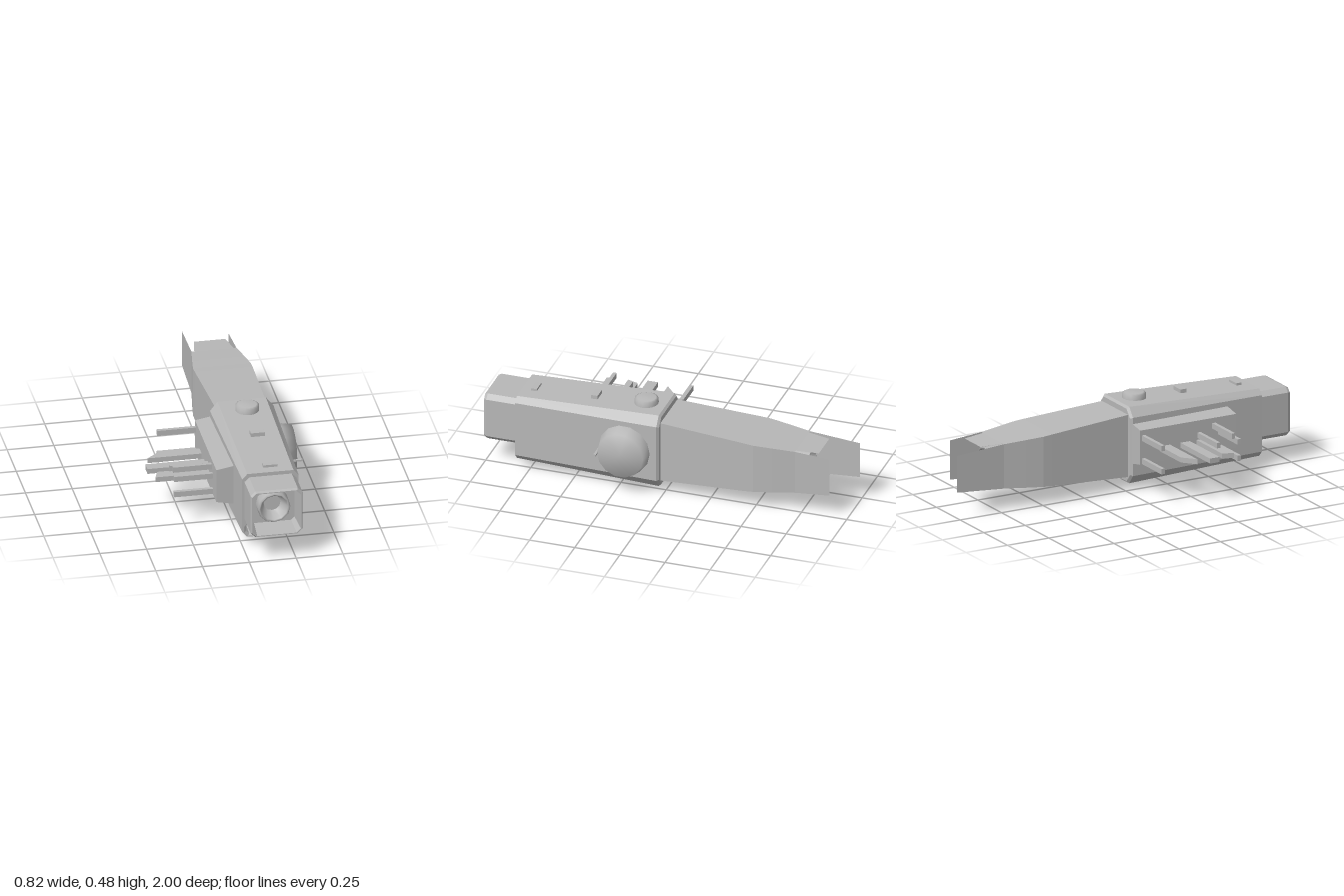
import * as THREE from 'three';

const CX = 0.148, CY = 0.245;

// Chamfered rectangle, counter-clockwise seen from +z
function oct(z, x0, x1, y0, y1, cx, cy = cx) {
  return [[x0 + cx, y0], [x1 - cx, y0], [x1, y0 + cy], [x1, y1 - cy],
    [x1 - cx, y1], [x0 + cx, y1], [x0, y1 - cy], [x0, y0 + cy]].map(([x, y]) => [x, y, z]);
}
const rect = (z, hw, hh) => [[CX - hw, CY - hh, z], [CX + hw, CY - hh, z], [CX + hw, CY + hh, z], [CX - hw, CY + hh, z]];

// Faceted surface through matching rings, optionally capped
function loft(rings, { start = false, end = false, closed = true } = {}) {
  const v = [];
  const tri = (...p) => p.forEach(q => v.push(...q));
  const n = rings[0].length;
  for (let r = 0; r < rings.length - 1; r++) {
    for (let i = 0; i < (closed ? n : n - 1); i++) {
      const j = (i + 1) % n, a = rings[r], b = rings[r + 1];
      tri(a[i], a[j], b[j]);
      tri(a[i], b[j], b[i]);
    }
  }
  for (let i = 1; i < n - 1; i++) {
    const a = rings[0], b = rings[rings.length - 1];
    if (start) tri(a[0], a[i + 1], a[i]);
    if (end) tri(b[0], b[i], b[i + 1]);
  }
  const g = new THREE.BufferGeometry();
  g.setAttribute('position', new THREE.Float32BufferAttribute(v, 3));
  g.computeVertexNormals();
  return g;
}

export function createModel() {
  const group = new THREE.Group();
  const grey = new THREE.MeshStandardMaterial({ color: 0xb8b8b8, side: THREE.DoubleSide });
  grey.name = 'hull grey';
  const add = (name, geo, x = 0, y = 0, z = 0) => {
    const m = new THREE.Mesh(geo, grey);
    m.name = name;
    m.position.set(x, y, z);
    group.add(m);
    return m;
  };
  const box = (name, w, h, d, x, y, z) => add(name, new THREE.BoxGeometry(w, h, d), x, y, z);
  const V = (x, y) => new THREE.Vector2(x, y);

  // Main hull, slightly wider at the rear
  const hullFront = oct(0.82, -0.003, 0.298, 0.06, 0.43, 0.027, 0.03);
  add('hull', loft([
    oct(0.02, -0.01, 0.307, 0.045, 0.445, 0.037, 0.045),
    oct(0.032, -0.021, 0.318, 0.035, 0.456, 0.04, 0.05),
    hullFront,
  ], { start: true }));

  // Front face with a lower intake
  const intake = z => oct(z, 0.01, 0.286, 0.065, 0.142, 0.02, 0.02);
  const face = new THREE.Shape(hullFront.map(([x, y]) => V(x, y)));
  face.holes.push(new THREE.Path(intake(0).map(([x, y]) => V(x, y)).reverse()));
  add('frontFace', new THREE.ShapeGeometry(face), 0, 0, 0.82);
  add('intake', loft([
    intake(0.82), oct(0.805, 0.018, 0.278, 0.072, 0.135, 0.018, 0.018),
    oct(0.7, 0.022, 0.274, 0.075, 0.132, 0.018, 0.018),
  ], { end: true }));

  // Hollow nose collar
  add('noseCollar', loft([
    oct(0.82, 0.009, 0.286, 0.143, 0.41, 0.025),
    oct(0.985, 0.009, 0.286, 0.143, 0.41, 0.025),
    oct(1.0, 0.015, 0.28, 0.149, 0.404, 0.023),
    oct(1.0, 0.02, 0.275, 0.154, 0.399, 0.022),
    oct(0.87, 0.032, 0.266, 0.164, 0.388, 0.018),
  ], { end: true }));

  // Front barrel, a ring with a sunken core
  const barrel = new THREE.LatheGeometry([
    V(0.087, 0), V(0.087, 0.06), V(0.081, 0.07), V(0.072, 0.065), V(0.07, 0.05), V(0.045, 0), V(0, -0.02),
  ], 12);
  barrel.rotateX(Math.PI / 2);
  add('frontBarrel', barrel, 0.146, 0.277, 0.87);

  // Tapered tail sleeve
  add('tailSleeve', loft([
    rect(-0.72, 0.12, 0.122), rect(-0.6, 0.14, 0.131), rect(-0.5, 0.155, 0.138),
    rect(-0.45, 0.154, 0.142), rect(0.02, 0.138, 0.171),
  ]));

  // Tail flaps: two short ones above and below, two long ones at the sides
  for (const s of [1, -1]) {
    add(s > 0 ? 'upperTailFlap' : 'lowerTailFlap', loft([
      [[CX - s * 0.105, CY + s * 0.122, -0.72], [CX + s * 0.105, CY + s * 0.122, -0.72]],
      [[CX - s * 0.084, CY + s * 0.116, -0.84], [CX + s * 0.084, CY + s * 0.116, -0.84]],
    ], { closed: false }));
    const zEnd = s > 0 ? -0.91 : -1, h = s > 0 ? 0.108 : 0.101;
    add(s > 0 ? 'leftTailFlap' : 'rightTailFlap', loft([
      [[CX + s * 0.12, CY + s * 0.122, -0.72], [CX + s * 0.12, CY - s * 0.122, -0.72]],
      [[CX + s * 0.116, CY + s * h, zEnd], [CX + s * 0.116, CY - s * h, zEnd]],
    ], { closed: false }));
  }

  // Engine nozzle inside the tail
  const nozzle = new THREE.LatheGeometry([V(0, 0.05), V(0.06, 0.06), V(0.07, 0.2), V(0.08, 0.2), V(0.08, 0)].reverse(), 12);
  nozzle.rotateX(-Math.PI / 2);
  add('engineNozzle', nozzle, CX, CY, -0.57);

  // Large round pod and its pin on the left side
  const pod = new THREE.LatheGeometry([V(0.143, 0), V(0.127, 0.075), V(0, 0.076)], 14);
  pod.rotateZ(-Math.PI / 2);
  add('sidePod', pod, 0.311, 0.238, 0.21);
  box('podPin', 0.1, 0.009, 0.014, 0.362, 0.232, 0.342);

  // Round domes and small hatches above and below
  for (const s of [1, -1]) {
    const dome = new THREE.LatheGeometry([V(0.064, -0.01), V(0.063, 0.027), V(0.05, 0.034), V(0, 0.035)], 16);
    if (s < 0) dome.rotateX(Math.PI);
    add(s > 0 ? 'topDome' : 'bottomDome', dome, 0.157, CY + s * 0.207, 0.14);
    box('hatch', 0.075, 0.03, 0.035, 0.157, CY + s * 0.204, 0.417);
    box('hatch', 0.075, 0.024, 0.032, 0.157, CY + s * 0.188, 0.752);
  }

  // Antenna base on the right side
  const base = new THREE.Shape([V(-0.1, 0.17), V(0.01, 0.148), V(0.01, 0.377), V(-0.1, 0.358)]);
  add('antennaBase', new THREE.ExtrudeGeometry(base, { depth: 0.58, bevelEnabled: false }), 0, 0, 0.03);

  // Thin antenna rods: [y, z]
  for (const [y, z] of [[0.315, 0.05], [0.188, 0.05], [0.278, 0.385], [0.315, 0.475], [0.278, 0.51], [0.188, 0.51]]) {
    box('antennaRod', 0.207, 0.03, 0.02, -0.2035, y, z);
  }

  // Broad antenna blades: [z0, z1, tip x at z0, tip x at z1]
  for (const [z0, z1, a, b] of [[0.15, 0.21, -0.32, -0.39], [0.273, 0.33, -0.413, -0.413], [0.37, 0.43, -0.37, -0.39]]) {
    const blade = new THREE.ExtrudeGeometry(
      new THREE.Shape([V(-0.1, -z0), V(a, -z0), V(b, -z1), V(-0.1, -z1)]),
      { depth: 0.028, bevelEnabled: false });
    blade.rotateX(-Math.PI / 2);
    add('antennaBlade', blade, 0, 0.225, 0);
  }
  return group;
}
